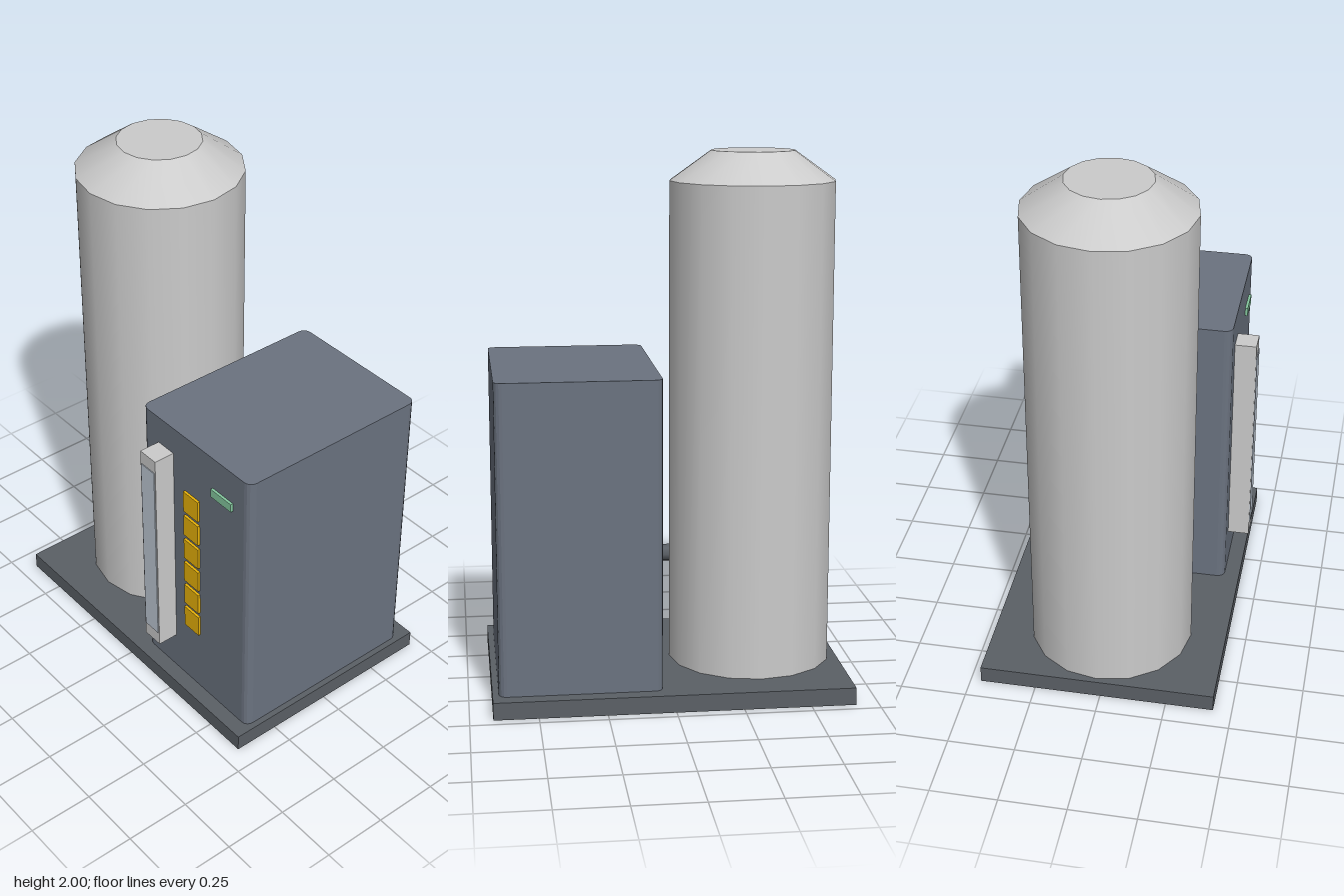
import * as THREE from 'three';

const mat = (color) => new THREE.MeshStandardMaterial({ color });

export function createModel() {
  const group = new THREE.Group();
  const grey = mat(0xcccccc), dark = mat(0x5b6066), slate = mat(0x6b7380);
  const yellow = mat(0xeab308), green = mat(0x86c9a0), glass = mat(0xc0cad6);

  const add = (name, geometry, material, x, y, z) => {
    const mesh = new THREE.Mesh(geometry, material);
    mesh.name = name;
    mesh.position.set(x, y, z);
    group.add(mesh);
    return mesh;
  };
  // Box given by its limits on each axis
  const box = (name, material, x0, x1, y0, y1, z0, z1) =>
    add(name, new THREE.BoxGeometry(x1 - x0, y1 - y0, z1 - z0), material,
      (x0 + x1) / 2, (y0 + y1) / 2, (z0 + z1) / 2);

  // Base slab
  const top = 0.065;
  box('basePlate', dark, -0.665, 0.665, 0, top, -0.46, 0.43);

  // Tall tank with a conical shoulder
  const tankX = -0.335, tankZ = -0.015, r = 0.31, shoulder = 1.89;
  add('tankBody', new THREE.CylinderGeometry(r, r, shoulder - top, 16), grey,
    tankX, (shoulder + top) / 2, tankZ);
  add('tankShoulder', new THREE.CylinderGeometry(0.156, r, 2 - shoulder, 16), grey,
    tankX, (shoulder + 2) / 2, tankZ);

  // Cabinet: footprint with small rounded vertical corners, extruded upwards
  const w = 0.30, d = 0.3875, c = 0.03, height = 1.22 - top;
  const plan = new THREE.Shape();
  plan.moveTo(-w + c, -d);
  plan.absarc(w - c, -d + c, c, -Math.PI / 2, 0);
  plan.absarc(w - c, d - c, c, 0, Math.PI / 2);
  plan.absarc(-w + c, d - c, c, Math.PI / 2, Math.PI);
  plan.absarc(-w + c, -d + c, c, Math.PI, Math.PI * 1.5);
  const cabinet = new THREE.ExtrudeGeometry(plan, { depth: height, bevelEnabled: false, curveSegments: 2 });
  cabinet.rotateX(-Math.PI / 2);
  add('cabinet', cabinet, slate, 0.342, top, -0.0165);

  // Connecting pipe between the tank and the cabinet
  const pipe = add('connectingPipe', new THREE.CylinderGeometry(0.034, 0.034, 0.1, 8), dark, 0.012, 0.445, 0.097);
  pipe.rotation.z = Math.PI / 2;

  // Sight gauge on the cabinet front
  box('gaugeHousing', grey, 0.134, 0.22, 0.224, 1.108, 0.36, 0.453);
  box('gaugeWindow', glass, 0.139, 0.215, 0.28, 1.055, 0.44, 0.456);

  // Column of indicator tiles
  for (let i = 0; i < 6; i++) {
    const y = 0.935 - i * 0.111;
    box('indicatorTile', yellow, 0.286, 0.368, y - 0.045, y + 0.045, 0.36, 0.381);
  }

  // Status display
  box('statusDisplay', green, 0.443, 0.553, 1.056, 1.09, 0.36, 0.381);

  return group;
}
